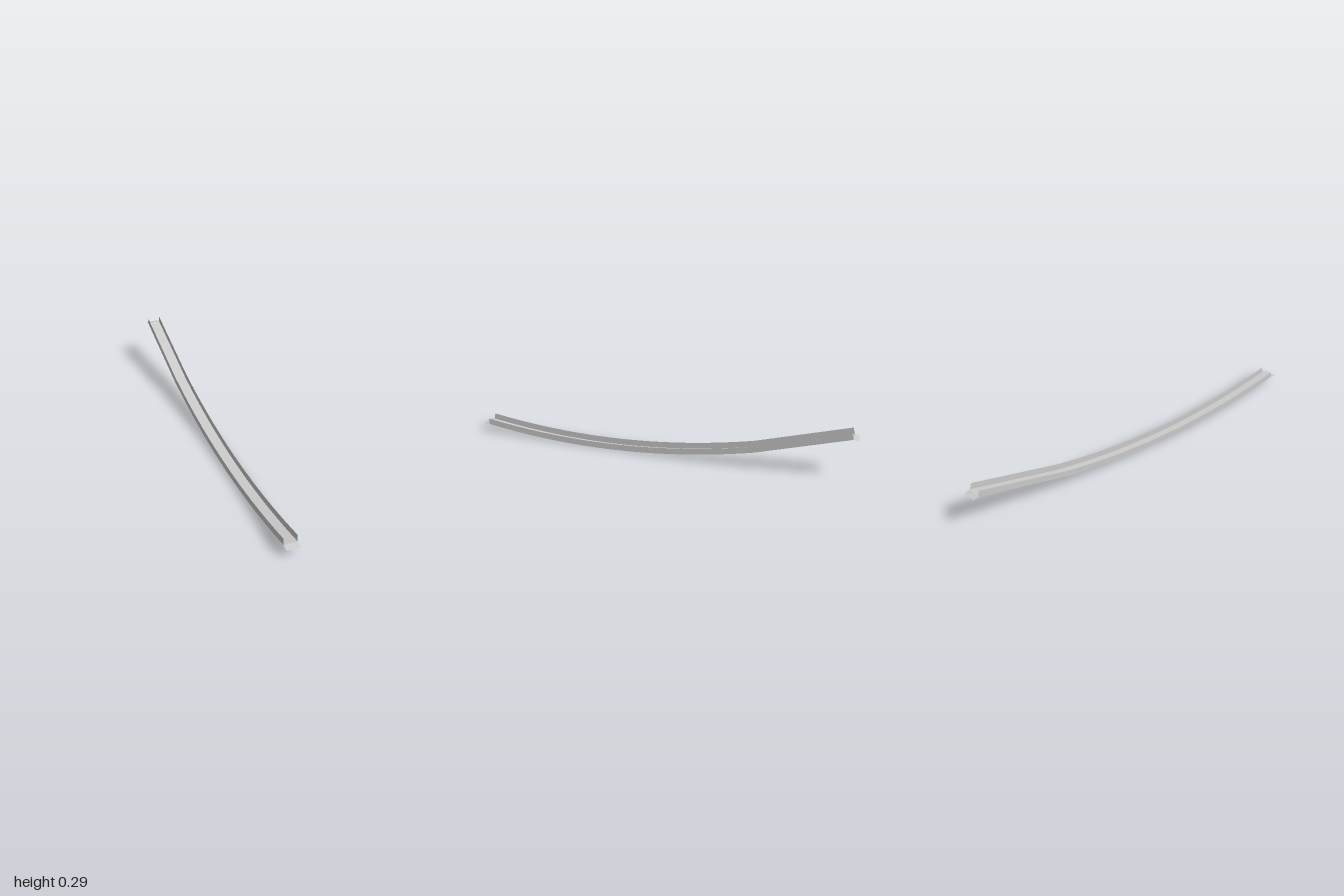
import * as THREE from 'three';

const HALF_WIDTH = 0.036, WALL = 0.035;
const RADIUS = 3.9, LOW = 0.375, BASE = 0.002; // curve radius, lowest point along the run, ground gap
const KINK = -0.525, END = 1.021;

// Sheet between two matching lists of points
function sheet(name, a, b, material) {
  const pos = [], index = [];
  a.forEach((p, i) => {
    pos.push(...p, ...b[i]);
    if (i) {
      const k = 2 * i;
      index.push(k - 2, k, k - 1, k - 1, k, k + 1);
    }
  });
  const g = new THREE.BufferGeometry();
  g.setAttribute('position', new THREE.Float32BufferAttribute(pos, 3));
  g.setIndex(index);
  g.computeVertexNormals();
  const mesh = new THREE.Mesh(g, material);
  mesh.name = name;
  return mesh;
}

export function createModel() {
  const group = new THREE.Group();
  group.name = 'slideChute';
  const material = new THREE.MeshStandardMaterial({ color: 0xcccccc, side: THREE.DoubleSide, flatShading: true });

  // Side profile as (run, height): straight upper ramp, then a circular sag
  const profile = [new THREE.Vector2(-1.03, 0.26)];
  const steps = 28;
  for (let i = 0; i <= steps; i++) {
    const s = KINK + (END - KINK) * i / steps;
    profile.push(new THREE.Vector2(s, BASE + RADIUS - Math.sqrt(RADIUS ** 2 - (s - LOW) ** 2)));
  }

  // Upper edge: the profile shifted square to its slope
  const rim = profile.map((p, i) => {
    const d = profile[Math.min(i + 1, profile.length - 1)].clone()
      .sub(profile[Math.max(i - 1, 0)]).normalize();
    return new THREE.Vector2(p.x - d.y * WALL, p.y + d.x * WALL);
  });

  const line = (pts, x) => pts.map(p => [x, p.y, p.x]);

  // Floor
  group.add(sheet('floor', line(profile, -HALF_WIDTH), line(profile, HALF_WIDTH), material));

  // Side walls
  for (const [name, side] of [['leftWall', 1], ['rightWall', -1]]) {
    group.add(sheet(name, line(profile, side * HALF_WIDTH), line(rim, side * HALF_WIDTH), material));
  }

  // Short lips bent down at both ends
  const first = profile[0], last = profile[profile.length - 1];
  for (const [name, p, s] of [['upperLip', first, -1.057], ['lowerLip', last, 1.057]]) {
    const pts = [p, new THREE.Vector2(s, p.y - 0.007)];
    group.add(sheet(name, line(pts, -HALF_WIDTH), line(pts, HALF_WIDTH), material));
  }

  // The run lies diagonally across the ground plan
  group.rotation.y = Math.atan2(0.38, 0.985);
  const model = new THREE.Group();
  model.name = 'slide';
  model.add(group);
  return model;
}
